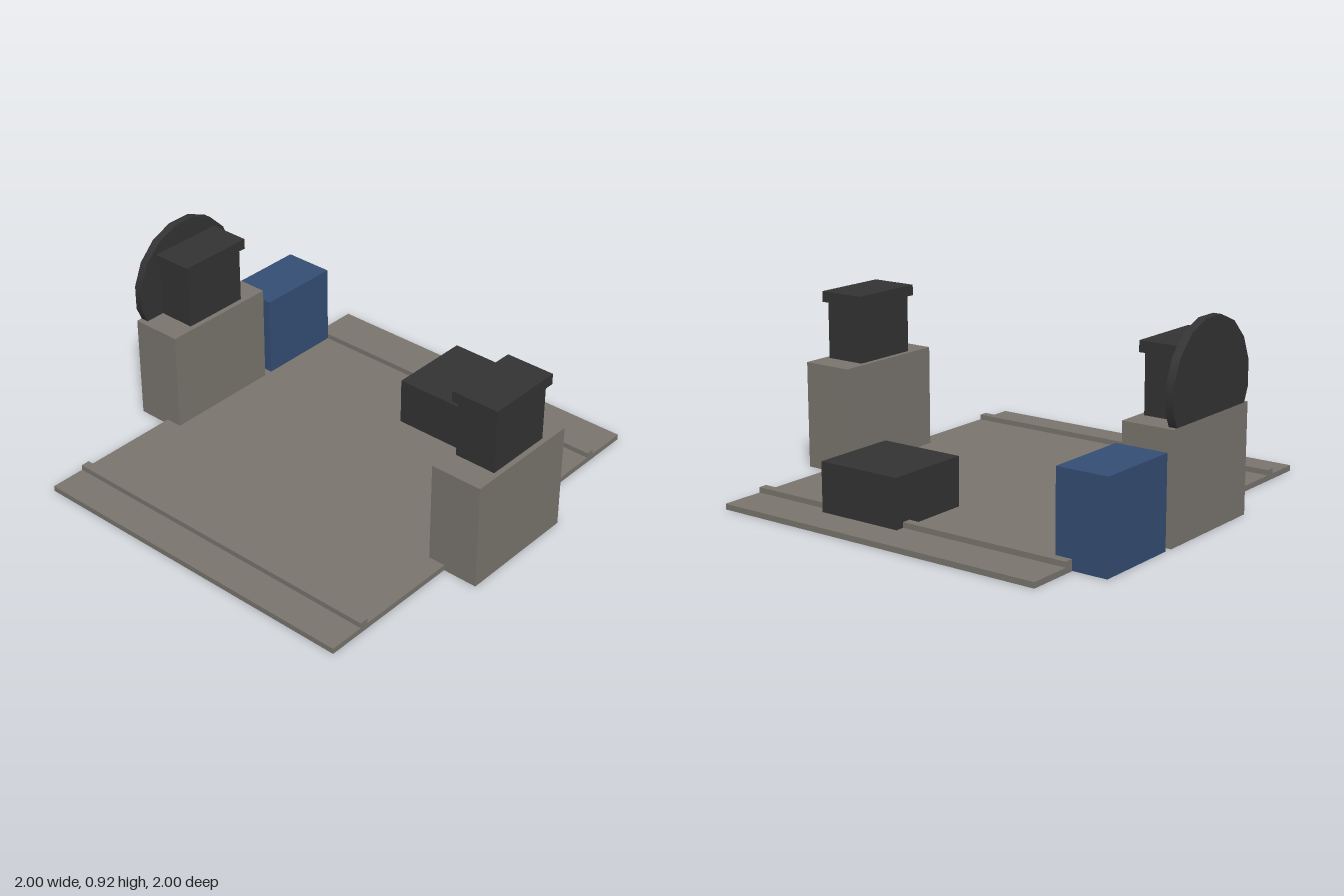
import * as THREE from 'three';

const paint = (name, color) => {
  const m = new THREE.MeshStandardMaterial({ color });
  m.name = name;
  return m;
};

export function createModel() {
  const stone = paint('warm grey', 0x7a766f);
  const dark = paint('charcoal', 0x333333);
  const blue = paint('navy blue', 0x344e75);

  const model = new THREE.Group();
  model.name = 'platform';

  // Box given by its limits on each axis
  const box = (name, mat, [x0, x1], [y0, y1], [z0, z1], parent = model) => {
    const mesh = new THREE.Mesh(new THREE.BoxGeometry(x1 - x0, y1 - y0, z1 - z0), mat);
    mesh.position.set((x0 + x1) / 2, (y0 + y1) / 2, (z0 + z1) / 2);
    mesh.name = name;
    parent.add(mesh);
    return mesh;
  };

  // Floor slab with a raised rail near the front and the back
  box('floor', stone, [-0.832, 0.832], [0, 0.026], [-1, 1]);
  box('frontRail', stone, [-0.832, 0.832], [0.026, 0.051], [0.79, 0.832]);
  box('backRail', stone, [-0.832, 0.832], [0.026, 0.051], [-0.793, -0.752]);

  // Pedestal, post and cap on both sides
  for (const [side, c] of [['left', 0.874], ['right', -0.876]]) {
    const tower = new THREE.Group();
    tower.name = side + 'Tower';
    model.add(tower);
    const centred = (w) => [c - w / 2, c + w / 2];
    box('pedestal', stone, centred(0.248), [0, 0.502], [-0.292, 0.292], tower);
    box('post', dark, centred(0.198), [0.502, 0.77], [-0.166, 0.166], tower);
    box('cap', dark, centred(0.23), [0.77, 0.82], [-0.187, 0.187], tower);
  }

  // Sixteen-sided wheel standing on the outside of the right tower
  const wheelShape = new THREE.CylinderGeometry(0.298, 0.298, 0.039, 16)
    .rotateY(Math.PI / 16)
    .rotateZ(Math.PI / 2);
  const wheel = new THREE.Mesh(wheelShape, dark);
  wheel.name = 'wheel';
  wheel.position.set(-0.979, 0.626, 0);
  model.add(wheel);

  // Cabinet and low crate at the back
  box('cabinet', blue, [-1, -0.752], [0.002, 0.417], [-0.752, -0.335]);
  box('crate', dark, [0, 0.415], [0.026, 0.252], [-0.835, -0.42]);

  return model;
}
